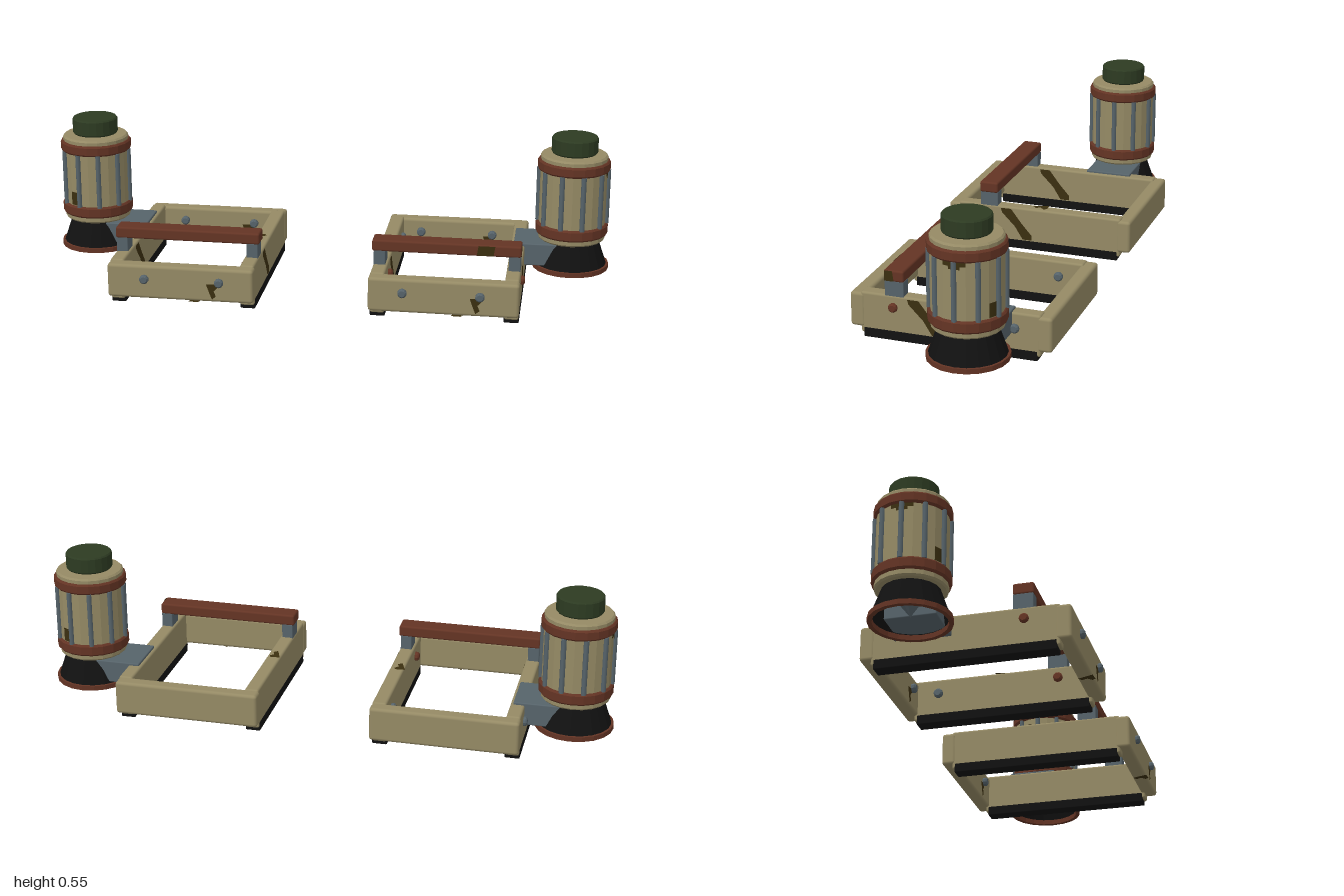
import * as THREE from 'three';
import { RoundedBoxGeometry } from 'three/addons/geometries/RoundedBoxGeometry.js';

const mat = (name, color, side = THREE.FrontSide) => {
  const m = new THREE.MeshStandardMaterial({ color, side });
  m.name = name;
  return m;
};

// Faceted normals for the low-poly round parts
function faceted(geometry) {
  const g = geometry.index ? geometry.toNonIndexed() : geometry;
  g.computeVertexNormals();
  return g;
}

const lathe = (profile, sides) =>
  faceted(new THREE.LatheGeometry(profile.map(([r, y]) => new THREE.Vector2(r, y)), sides));

export function createModel() {
  const model = new THREE.Group();
  model.name = 'pairedFrames';

  const tan = mat('tan paint', 0x958a65);
  const rust = mat('rust brown', 0x643424);
  const slate = mat('slate metal', 0x56636a);
  const green = mat('dark green', 0x2d3b22);
  const black = mat('black rubber', 0x111111, THREE.DoubleSide);
  const grime = mat('olive grime', 0x3b2f10, THREE.DoubleSide);

  function add(parent, name, geometry, material, x = 0, y = 0, z = 0) {
    const m = new THREE.Mesh(geometry, material);
    m.name = name;
    m.position.set(x, y, z);
    parent.add(m);
    return m;
  }

  // Box given by its limits on each axis, mirrored to side s
  function bar(parent, s, name, material, [x0, x1], [y0, y1], [z0, z1], bevel = 0.008) {
    const g = new RoundedBoxGeometry(x1 - x0, y1 - y0, z1 - z0, 2, bevel);
    return add(parent, name, g, material, s * (x0 + x1) / 2, (y0 + y1) / 2, (z0 + z1) / 2);
  }

  // Bolt head with a chamfered rim, along x or z
  const boltGeometry = lathe([[0.016, -0.01], [0.016, 0.01], [0.011, 0.015], [0, 0.015]], 10);
  function bolt(parent, material, axis, dir, x, y, z) {
    const b = add(parent, 'bolt', boltGeometry, material, x, y, z);
    if (axis === 'x') b.rotation.z = -dir * Math.PI / 2;
    else b.rotation.x = dir * Math.PI / 2;
  }

  // Thin grime patch from an outline; facing +z, +x or +y
  function patch(parent, points, facing, x, y, z) {
    const shape = new THREE.Shape(points.map(([a, b]) => new THREE.Vector2(a, b)));
    const p = add(parent, 'grimePatch', new THREE.ShapeGeometry(shape), grime, x, y, z);
    if (facing === 'x') p.rotation.y = Math.PI / 2;
    if (facing === 'y') p.rotation.x = -Math.PI / 2;
    if (facing === '-y') p.rotation.x = Math.PI / 2;
  }

  // Barrel built around its own axis
  function makeBarrel() {
    const barrel = new THREE.Group();
    barrel.name = 'barrel';
    add(barrel, 'barrelBody', lathe([[0, 0.172], [0.112, 0.172], [0.118, 0.178], [0.118, 0.476],
      [0.112, 0.482], [0, 0.482]], 20), tan);
    for (const [y0, y1] of [[0.193, 0.234], [0.426, 0.464]]) {
      add(barrel, 'barrelBand', lathe([[0.116, y0], [0.122, y0], [0.127, y0 + 0.006],
        [0.127, y1 - 0.006], [0.122, y1], [0.116, y1]], 20), rust);
    }
    for (let i = 0; i < 10; i++) {
      const a = i * Math.PI / 5;
      add(barrel, 'barrelRod', new THREE.CylinderGeometry(0.009, 0.009, 0.196, 8), slate,
        0.12 * Math.cos(a), 0.33, 0.12 * Math.sin(a));
    }
    add(barrel, 'cap', lathe([[0, 0.486], [0.077, 0.486], [0.081, 0.491], [0.081, 0.54],
      [0.077, 0.545], [0, 0.545]], 20), green);

    // Flared bell, open underneath, with a rim
    add(barrel, 'bell', faceted(new THREE.CylinderGeometry(0.095, 0.127, 0.092, 20, 1, true)), black, 0, 0.127, 0);
    add(barrel, 'bellRim', lathe([[0.12, 0.082], [0.12, 0.065], [0.135, 0.065],
      [0.135, 0.082], [0.12, 0.082]], 20), rust);
    const core = add(barrel, 'bellCore', faceted(new THREE.ConeGeometry(0.07, 0.09, 12)), slate, 0, 0.128, 0);
    core.rotation.x = Math.PI;

    // Grime wrapped on the body facets: start step, steps, bottom, top
    for (const [t, n, y0, y1] of [[8, 1, 0.237, 0.285], [4, 2, 0.412, 0.426], [4.5, 1, 0.402, 0.413]]) {
      const step = Math.PI / 10;
      add(barrel, 'barrelGrime', new THREE.CylinderGeometry(0.1192, 0.1192, y1 - y0, n * 2, 1, true,
        t * step, n * step), grime, 0, (y0 + y1) / 2, 0);
    }
    return barrel;
  }

  for (const s of [1, -1]) {
    const unit = new THREE.Group();
    unit.name = s > 0 ? 'leftUnit' : 'rightUnit';
    model.add(unit);

    // Frame rails and skids
    for (const [x0, x1] of [[0.2, 0.25], [0.657, 0.706]]) {
      bar(unit, s, 'sideRail', tan, [x0, x1], [0.014, 0.159], [-0.317, 0.305]);
      bar(unit, s, 'skid', black, [x0 - 0.001, x1 + 0.001], [0, 0.035], [-0.307, 0.295], 0.004);
    }
    bar(unit, s, 'frontRail', tan, [0.197, 0.708], [0.034, 0.154], [0.289, 0.342], 0.011);
    bar(unit, s, 'backRail', tan, [0.197, 0.708], [0.034, 0.154], [-0.355, -0.304], 0.011);

    // Handle bar on two posts
    for (const [x0, x1] of [[0.202, 0.242], [0.664, 0.704]]) {
      bar(unit, s, 'handlePost', slate, [x0, x1], [0.148, 0.21], [0.152, 0.219], 0.003);
    }
    bar(unit, s, 'handle', rust, [0.196, 0.706], [0.207, 0.247], [0.151, 0.221], 0.007);

    // Bolts on the rails
    for (const x of [0.315, 0.577]) {
      bolt(unit, slate, 'z', 1, s * x, 0.106, 0.341);
      bolt(unit, slate, 'z', 1, s * x, 0.106, -0.303);
    }
    for (const x of [0.25, 0.704]) {
      bolt(unit, rust, 'x', s, s * x, 0.118, 0.189);
      bolt(unit, slate, 'x', s, s * x, 0.106, -0.23);
    }

    // Bracket carrying the barrel
    bar(unit, s, 'bracket', slate, [0.667, 0.868], [0.087, 0.167], [-0.22, -0.048], 0.004);
    const barrel = makeBarrel();
    barrel.position.set(s * 0.866, 0, -0.132);
    barrel.rotation.y = s > 0 ? 0 : Math.PI;
    unit.add(barrel);

    // Grime: diagonal streaks on the rails facing +x, and small spots
    const streak = [[-0.14, 0.152], [-0.1, 0.152], [-0.06, 0.1], [-0.02, 0.055], [-0.02, 0.037],
      [-0.055, 0.037], [-0.085, 0.085], [-0.135, 0.135]];
    for (const x of s > 0 ? [0.2505, 0.7065] : [-0.1995, -0.6565]) patch(unit, streak, 'x', x, 0, 0);
    const spot = [[-0.02, 0.03], [0.014, 0.032], [0.02, 0.02], [0.006, 0.006], [0.014, -0.012],
      [0, -0.024], [-0.008, -0.004]];
    const dx = s > 0 ? 0 : -0.903;
    patch(unit, spot, 'z', 0.563 + dx, 0.068, 0.3427);
    patch(unit, spot, 'z', 0.563 + dx, 0.068, -0.3033);
    patch(unit, spot, '-y', 0.5 + dx, 0.0335, 0.315);
    patch(unit, spot, 'y', s > 0 ? 0.222 : -0.235, 0.1596, 0);
  }

  // Grime at the end of one handle
  patch(model, [[0.555, 0.21], [0.612, 0.21], [0.617, 0.244], [0.56, 0.244]], 'z', 0, 0, 0.2215);
  patch(model, [[-0.218, 0.209], [-0.185, 0.209], [-0.19, 0.245], [-0.218, 0.245]], 'x', 0.7065, 0, 0);

  return model;
}
